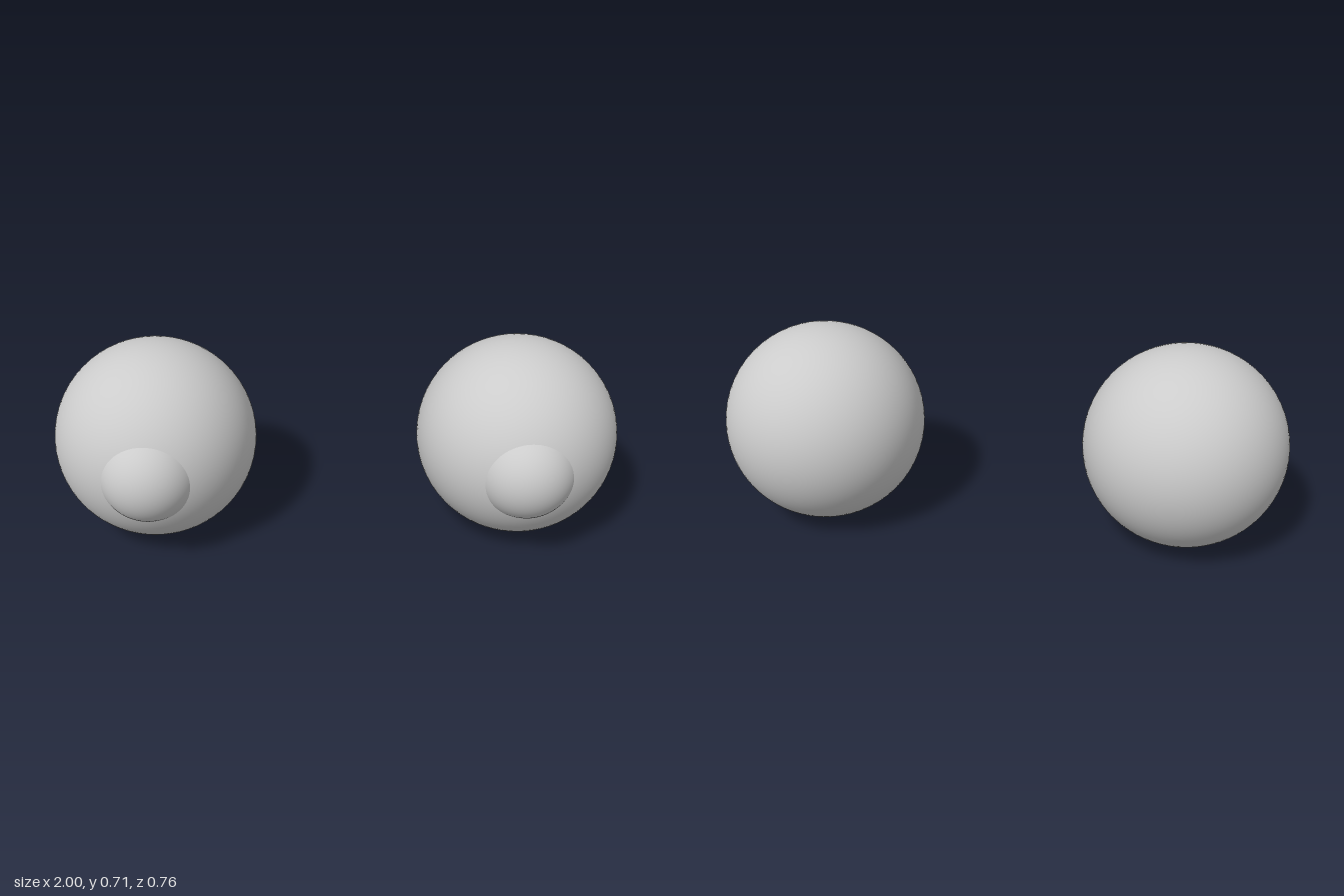
import * as THREE from 'three';

const EYE_RADIUS = 0.356;
const CORNEA_RADIUS = 0.175;

export function createModel() {
  const model = new THREE.Group();
  model.name = 'eyes';
  const material = new THREE.MeshStandardMaterial({ color: 0xcccccc });

  // Pole turned to +z so the rings run around the line of sight
  const eyeballGeometry = new THREE.SphereGeometry(EYE_RADIUS, 64, 48).rotateX(Math.PI / 2);

  // Smaller, more curved cap whose rim sinks just under the eyeball
  const corneaGeometry = new THREE.SphereGeometry(CORNEA_RADIUS, 64, 20, 0, Math.PI * 2, 0, 1.1)
    .rotateX(Math.PI / 2);

  for (const side of [1, -1]) {
    const eye = new THREE.Group();
    eye.name = side > 0 ? 'leftEye' : 'rightEye';
    eye.position.set(side * 0.644, 0.358, -0.025);

    const eyeball = new THREE.Mesh(eyeballGeometry, material);
    eyeball.name = 'eyeball';

    const cornea = new THREE.Mesh(corneaGeometry, material);
    cornea.name = 'cornea';
    cornea.position.z = 0.231;

    eye.add(eyeball, cornea);
    model.add(eye);
  }
  return model;
}
